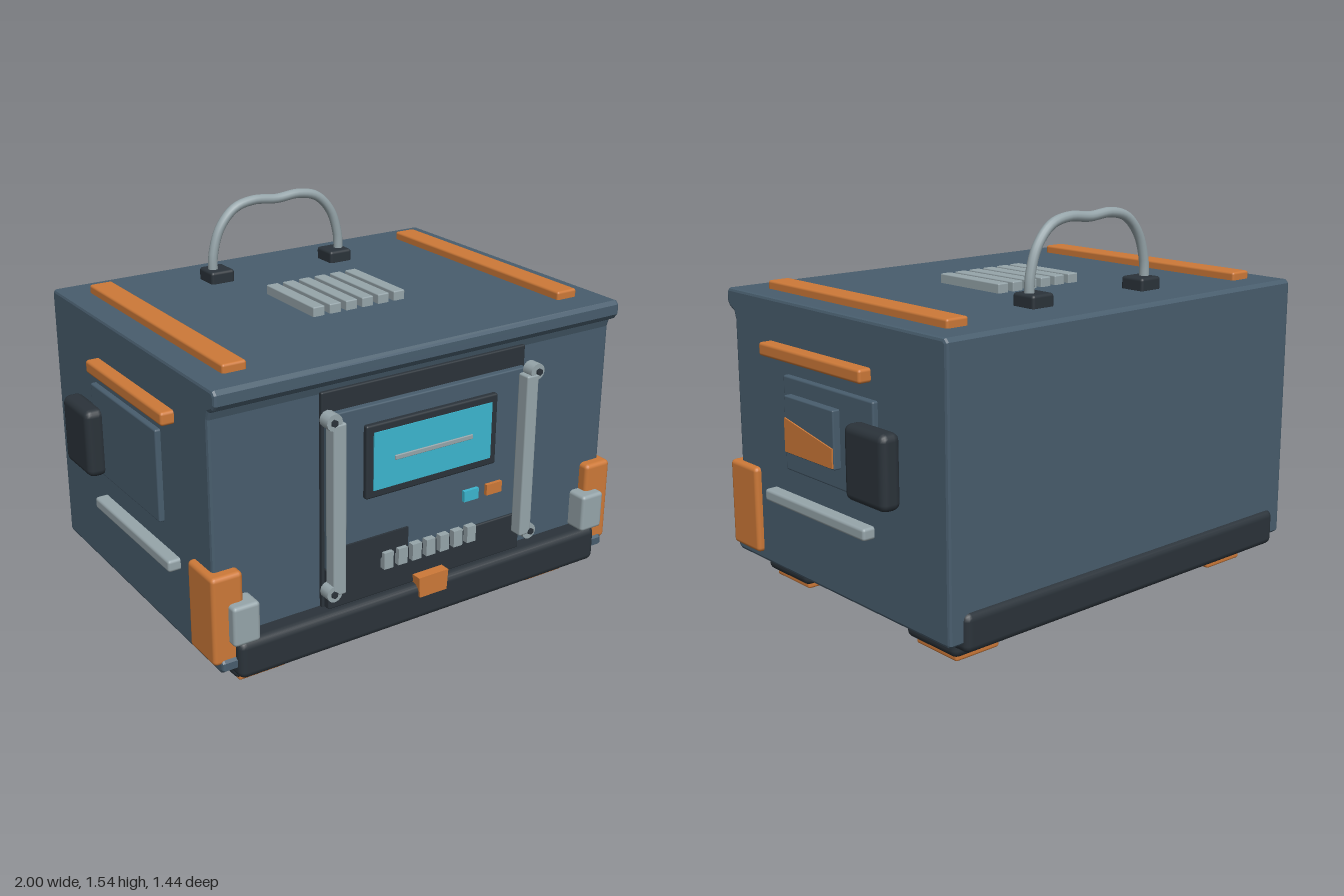
import * as THREE from 'three';
import { RoundedBoxGeometry } from 'three/addons/geometries/RoundedBoxGeometry.js';

export function createModel() {
  const model = new THREE.Group();
  model.name = 'fieldCase';

  const paint = (name, color) => {
    const m = new THREE.MeshStandardMaterial({ color });
    m.name = name;
    return m;
  };
  const blue = paint('slateBlue', 0x485d6d);
  const dark = paint('charcoal', 0x2b333a);
  const grey = paint('steelGrey', 0x96a5aa);
  const orange = paint('orange', 0xcd7938);
  const cyan = paint('screenCyan', 0x3cb6cf);

  const add = (name, geometry, material) => {
    const mesh = new THREE.Mesh(geometry, material);
    mesh.name = name;
    model.add(mesh);
    return mesh;
  };
  // Box given by its limits, with softened edges when r > 0
  const box = (name, mat, [x0, x1], [y0, y1], [z0, z1], r = 0) => {
    const size = [x1 - x0, y1 - y0, z1 - z0];
    const geo = r ? new RoundedBoxGeometry(...size, 2, r) : new THREE.BoxGeometry(...size);
    geo.translate((x0 + x1) / 2, (y0 + y1) / 2, (z0 + z1) / 2);
    return add(name, geo, mat);
  };
  // The same box on both sides of the model
  const pair = (name, mat, [x0, x1], y, z, r) => {
    box(name + 'Left', mat, [x0, x1], y, z, r);
    box(name + 'Right', mat, [-x1, -x0], y, z, r);
  };
  // Side profile of points [z, y] extruded across x, with bevelled ends
  const extrudeX = (name, mat, points, x0, x1, bevel) => {
    const shape = new THREE.Shape(points.map(p => new THREE.Vector2(...p)));
    const geo = new THREE.ExtrudeGeometry(shape, {
      depth: x1 - x0 - 2 * bevel, bevelEnabled: bevel > 0, bevelThickness: bevel,
      bevelSize: bevel, bevelOffset: -bevel, bevelSegments: 2,
    });
    geo.rotateY(-Math.PI / 2);
    geo.translate(x1 - bevel, 0, 0);
    return add(name, geo, mat);
  };

  // Body shell: recessed front under an overhanging lid, with a lower sill
  extrudeX('bodyShell', blue, [
    [-0.69, 0.12], [0.65, 0.12], [0.67, 0.135], [0.67, 0.165], [0.655, 0.18], [0.615, 0.2],
    [0.615, 1.09], [0.625, 1.12], [0.655, 1.135], [0.67, 1.155], [0.67, 1.195], [0.655, 1.21],
    [-0.685, 1.21], [-0.7, 1.195], [-0.7, 0.13],
  ], -0.91, 0.91, 0.012);

  // Bumpers
  box('frontBumper', dark, [-0.85, 0.85], [0.085, 0.24], [0.57, 0.695], 0.03);
  box('rearBumper', dark, [-0.85, 0.85], [0.085, 0.235], [-0.72, -0.6], 0.03);

  // Feet with orange pads
  for (const [end, z] of [['front', 0.455], ['rear', -0.475]]) {
    pair(end + 'Foot', dark, [0.535, 0.82], [0.025, 0.14], [z - 0.145, z + 0.145], 0.03);
    pair(end + 'FootPad', orange, [0.585, 0.79], [0, 0.05], [z - 0.115, z + 0.115], 0.01);
  }

  // Front corner guards
  pair('cornerGuard', orange, [0.81, 0.937], [0.155, 0.51], [0.47, 0.66], 0.018);
  pair('cornerLatch', grey, [0.765, 0.875], [0.235, 0.395], [0.6, 0.7], 0.015);

  // Front control panel
  box('panelBacking', dark, [-0.465, 0.465], [0.23, 1.1], [0.6, 0.632], 0.006);
  box('panelFace', blue, [-0.455, 0.455], [0.4, 1.02], [0.62, 0.658], 0.006);
  box('panelTab', dark, [-0.4, -0.1], [0.395, 0.49], [0.65, 0.667]);
  box('panelLowerTray', dark, [-0.455, 0.455], [0.24, 0.4], [0.62, 0.66], 0.006);
  box('screenFrame', dark, [-0.302, 0.302], [0.658, 0.95], [0.65, 0.678], 0.008);
  box('screen', cyan, [-0.272, 0.272], [0.69, 0.92], [0.675, 0.682]);
  box('screenLine', grey, [-0.18, 0.18], [0.793, 0.812], [0.68, 0.688], 0.003);
  box('cyanButton', cyan, [0.16, 0.23], [0.525, 0.57], [0.65, 0.673]);
  box('orangeButton', orange, [0.27, 0.345], [0.525, 0.57], [0.65, 0.673]);
  for (let i = 0; i < 7; i++) {
    const x = -0.2 + i * 0.0655;
    box('frontVentTooth' + (i + 1), grey, [x - 0.021, x + 0.021], [0.35, 0.418], [0.64, 0.685]);
  }

  // Tapered release tag below the panel
  const tag = new THREE.Shape([[-0.064, 0.19], [0.064, 0.19], [0.07, 0.275], [-0.07, 0.275]]
    .map(p => new THREE.Vector2(...p)));
  const tagGeo = new THREE.ExtrudeGeometry(tag, { depth: 0.06, bevelEnabled: false });
  tagGeo.translate(0, 0, 0.643);
  add('releaseTag', tagGeo, orange);

  // Guard rails with bolted ends
  pair('guardRail', grey, [0.412, 0.468], [0.325, 1.005], [0.66, 0.718], 0.008);
  for (const side of [-1, 1]) {
    for (const y of [0.335, 1.015]) {
      const cap = new THREE.CylinderGeometry(0.033, 0.033, 0.05, 12);
      cap.rotateX(Math.PI / 2).translate(side * 0.462, y, 0.69);
      add('railEndCap', cap, grey);
      const bolt = new THREE.CylinderGeometry(0.014, 0.014, 0.008, 6);
      bolt.rotateX(Math.PI / 2).translate(side * 0.466, y, 0.72);
      add('railBolt', bolt, dark);
    }
  }

  // Side walls: raised panel, hinge block and trim bars
  pair('sidePanel', blue, [0.9, 0.932], [0.558, 0.93], [-0.318, 0.25], 0.008);
  pair('sideBlock', dark, [0.915, 1], [0.565, 0.848], [-0.46, -0.222], 0.03);
  pair('sideUpperBar', orange, [0.9, 0.962], [0.99, 1.043], [-0.282, 0.368], 0.012);
  pair('sideLowerBar', grey, [0.9, 0.96], [0.41, 0.458], [-0.282, 0.368], 0.012);

  // Gauge window on the left side, with a sloping fill
  box('gaugeWindow', blue, [0.92, 0.962], [0.64, 0.865], [-0.115, 0.203], 0.006);
  extrudeX('gaugeFill', orange,
    [[-0.11, 0.647], [0.197, 0.647], [0.197, 0.78], [-0.11, 0.722]], 0.96, 0.968, 0);

  // Lid strips and vent slats
  pair('lidStrip', orange, [0.705, 0.802], [1.19, 1.243], [-0.572, 0.535], 0.01);
  for (let i = 0; i < 6; i++) {
    const x = -0.19 + i * 0.075;
    box('lidVentSlat' + (i + 1), grey, [x - 0.026, x + 0.026], [1.2, 1.248], [-0.167, 0.187], 0.005);
  }

  // Carry handle
  pair('handleMount', dark, [0.235, 0.342], [1.2, 1.26], [-0.503, -0.39], 0.012);
  const half = [[0.308, 1.24], [0.304, 1.32], [0.27, 1.425], [0.2, 1.5], [0.11, 1.523]];
  const path = [...half.map(([x, y]) => [-x, y]), [0, 1.515], ...half.slice().reverse()];
  const curve = new THREE.CatmullRomCurve3(path.map(([x, y]) => new THREE.Vector3(x, y, -0.445)));
  add('carryHandle', new THREE.TubeGeometry(curve, 48, 0.02, 12), grey);

  return model;
}
